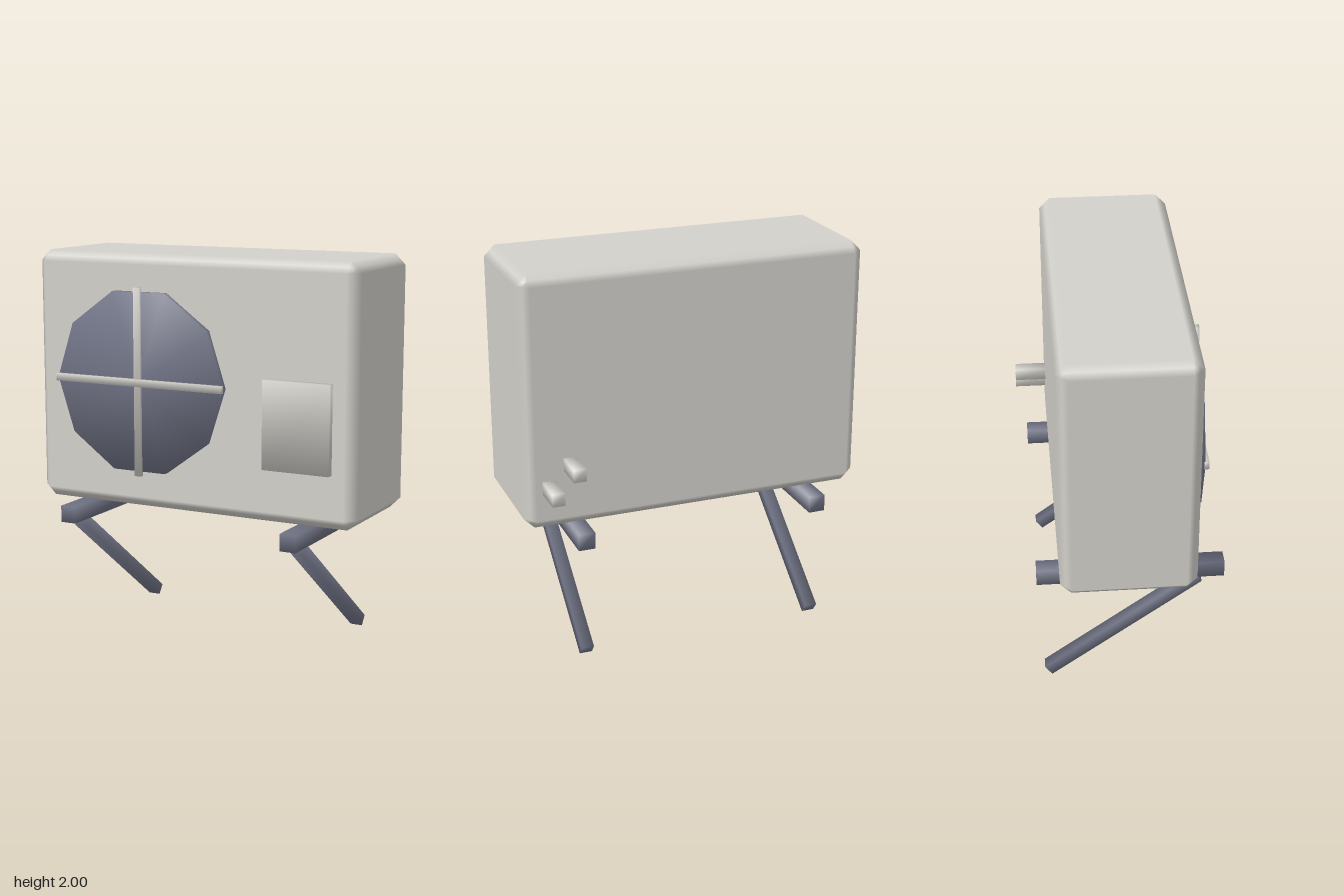
import * as THREE from 'three';

const lightMat = new THREE.MeshStandardMaterial({ name: 'warm grey casing', color: 0xd2d0ca });
const darkMat = new THREE.MeshStandardMaterial({ name: 'slate metal', color: 0x6f7284 });

// Box with one flat bevel per edge and normals blended across the bevel
function bevelBox(w, h, d, r) {
  const geo = new THREE.BoxGeometry(1, 1, 1, 3, 3, 3);
  const p = geo.attributes.position;
  const half = new THREE.Vector3(w / 2 - r, h / 2 - r, d / 2 - r);
  const v = new THREE.Vector3();
  const edge = (c) => (Math.abs(c) > 0.4 ? Math.sign(c) : 0);
  for (let i = 0; i < p.count; i++) {
    v.fromBufferAttribute(p, i);
    const n = new THREE.Vector3(edge(v.x), edge(v.y), edge(v.z));
    const s = r / n.manhattanLength();
    p.setXYZ(i,
      Math.sign(v.x) * half.x + n.x * s,
      Math.sign(v.y) * half.y + n.y * s,
      Math.sign(v.z) * half.z + n.z * s);
    n.normalize();
    geo.attributes.normal.setXYZ(i, n.x, n.y, n.z);
  }
  return geo;
}

// Plain box whose corner normals point diagonally outward (soft shading)
function softBox(w, h, d) {
  const geo = new THREE.BoxGeometry(w, h, d);
  const p = geo.attributes.position;
  const n = new THREE.Vector3();
  for (let i = 0; i < p.count; i++) {
    n.set(Math.sign(p.getX(i)), Math.sign(p.getY(i)), Math.sign(p.getZ(i))).normalize();
    geo.attributes.normal.setXYZ(i, n.x, n.y, n.z);
  }
  return geo;
}

// Ten-sided disc facing z, softly shaded around its rim
function softDisc(radius, depth) {
  const geo = new THREE.CylinderGeometry(radius, radius, depth, 10, 1, false, Math.PI / 2);
  geo.rotateX(Math.PI / 2);
  const p = geo.attributes.position;
  const n = new THREE.Vector3();
  for (let i = 0; i < p.count; i++) {
    n.set(p.getX(i) / radius, p.getY(i) / radius, Math.sign(p.getZ(i))).normalize();
    geo.attributes.normal.setXYZ(i, n.x, n.y, n.z);
  }
  return geo;
}

export function createModel() {
  const model = new THREE.Group();
  model.name = 'outdoorUnit';
  const add = (name, geo, mat, x, y, z) => {
    const mesh = new THREE.Mesh(geo, mat);
    mesh.name = name;
    mesh.position.set(x, y, z);
    model.add(mesh);
    return mesh;
  };

  // Casing
  add('casing', bevelBox(1.795, 1.3, 0.67, 0.055), lightMat, 0, 1.35, 0);

  // Fan disc with crossed guard bars
  const fanX = -0.273, fanY = 1.354;
  add('fanDisc', softDisc(0.48, 0.05), darkMat, fanX, fanY, 0.341);
  add('guardBarHorizontal', softBox(0.96, 0.038, 0.024), lightMat, fanX, fanY, 0.373);
  add('guardBarVertical', softBox(0.036, 0.96, 0.022), lightMat, fanX, fanY, 0.371);

  // Service panel
  add('servicePanel', softBox(0.356, 0.445, 0.05), lightMat, 0.602, 1.198, 0.347);

  // Two pipe stubs on the back
  for (const [name, x, y] of [['upperPipe', 0.668, 1.038], ['lowerPipe', 0.778, 0.928]]) {
    add(name, softBox(0.065, 0.065, 0.18), lightMat, x, y, -0.407);
  }

  // Mounting brackets: level arm and diagonal strut on each side
  for (const [side, x] of [['left', 0.625], ['right', -0.625]]) {
    add(side + 'BracketArm', softBox(0.086, 0.086, 0.94), darkMat, x, 0.658, 0.025);
    const strut = add(side + 'BracketStrut', softBox(0.065, 0.06, 0.955), darkMat, x, 0.315, -0.016);
    strut.rotation.x = -0.643;
  }
  return model;
}
